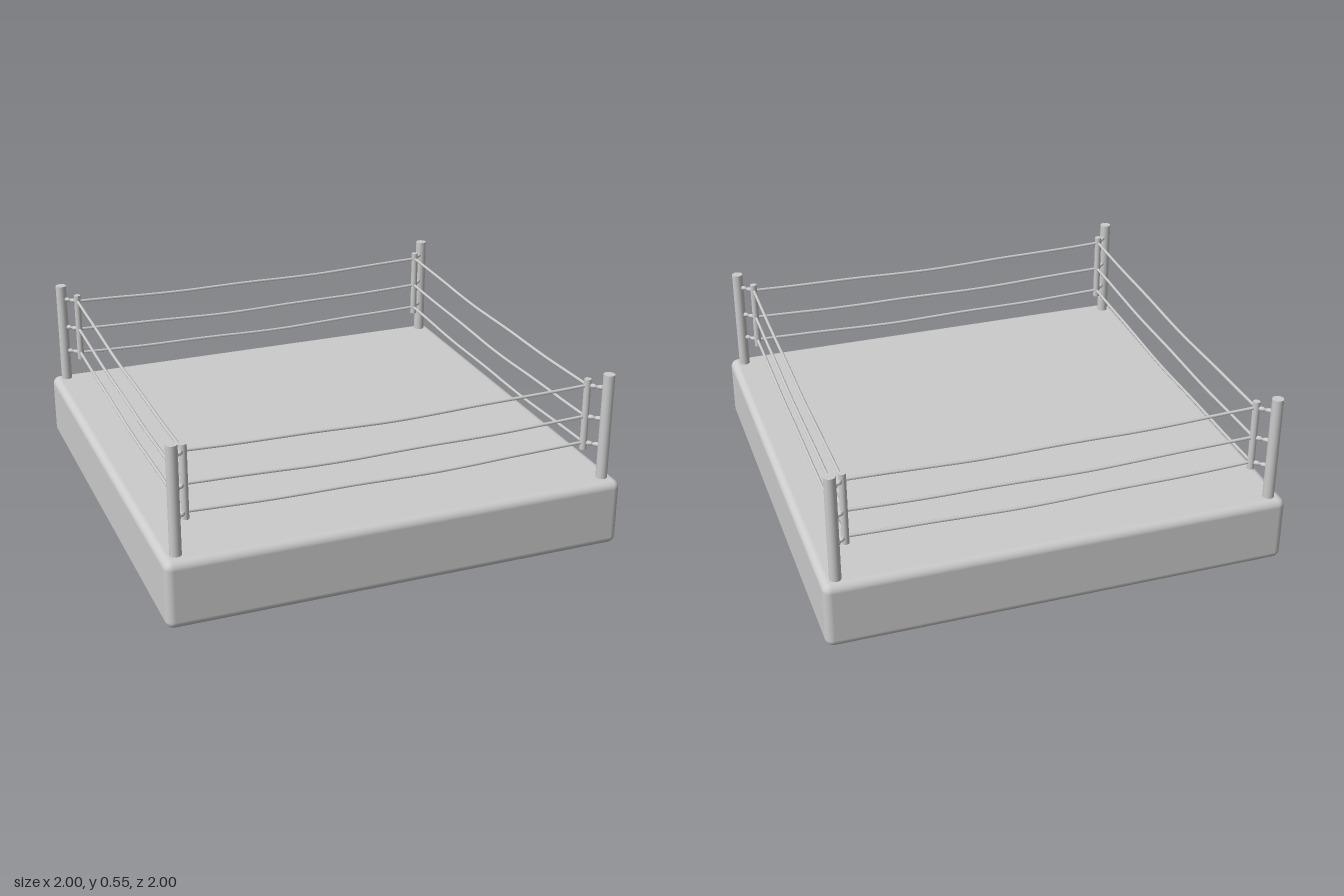
import * as THREE from 'three';
import { RoundedBoxGeometry } from 'three/addons/geometries/RoundedBoxGeometry.js';

const DECK_TOP = 0.213;
const POST_R = 0.948;   // distance of the tall posts from the centre
const PAD_R = 0.885;    // distance of the short rope posts
const LEVELS = [0.317, 0.403, 0.504];

const material = new THREE.MeshStandardMaterial({ color: 0xcccccc });
const shellMaterial = new THREE.MeshStandardMaterial({ color: 0xcccccc, side: THREE.DoubleSide });

function add(parent, name, geometry, mat = material) {
  const mesh = new THREE.Mesh(geometry, mat);
  mesh.name = name;
  parent.add(mesh);
  return mesh;
}

// Rounded box without its flat underside, so the platform is hollow from below
function openDeck(size, height, radius) {
  const box = new RoundedBoxGeometry(size, height, size, 4, radius);
  const pos = box.attributes.position;
  const nor = box.attributes.normal;
  const points = [];
  const normals = [];
  for (let i = 0; i < pos.count; i += 3) {
    const corners = [i, i + 1, i + 2];
    if (corners.every((k) => pos.getY(k) < -height / 2 + 1e-5)) continue;
    for (const k of corners) {
      points.push(pos.getX(k), pos.getY(k), pos.getZ(k));
      normals.push(nor.getX(k), nor.getY(k), nor.getZ(k));
    }
  }
  const geometry = new THREE.BufferGeometry();
  geometry.setAttribute('position', new THREE.Float32BufferAttribute(points, 3));
  geometry.setAttribute('normal', new THREE.Float32BufferAttribute(normals, 3));
  return geometry;
}

// Slack rope from one rope post to the next, with a slight ripple
function ropeGeometry(level, phase) {
  const points = [];
  for (let i = 0; i <= 10; i++) {
    const t = i / 10;
    const sag = Math.sin(Math.PI * t);
    const y = level - 0.012 * sag + 0.0025 * sag * Math.sin(13 * t + phase);
    points.push(new THREE.Vector3(PAD_R * (1 - t), y, PAD_R * t));
  }
  return new THREE.TubeGeometry(new THREE.CatmullRomCurve3(points), 40, 0.005, 8);
}

export function createModel() {
  const model = new THREE.Group();
  model.name = 'boxingRing';

  const ring = new THREE.Group();
  ring.name = 'ring';
  ring.rotation.y = -0.015;
  model.add(ring);

  // Hollow platform, turned so its corners lie on the axes
  const deck = add(ring, 'platform', openDeck(1.429, DECK_TOP, 0.025), shellMaterial);
  deck.position.y = DECK_TOP / 2;
  deck.rotation.y = Math.PI / 4;

  const fence = new THREE.Group();
  fence.name = 'fence';
  fence.position.set(-0.003, 0, -0.004);
  ring.add(fence);

  for (let i = 0; i < 4; i++) {
    const corner = new THREE.Group();
    corner.name = 'corner' + (i + 1);
    corner.rotation.y = i * Math.PI / 2;
    fence.add(corner);

    // Tall post, reaching down inside the platform
    add(corner, 'cornerPost', new THREE.CylinderGeometry(0.0175, 0.0175, 0.53, 20))
      .position.set(POST_R, 0.285, 0);

    // Short post that carries the ropes
    add(corner, 'ropePost', new THREE.CylinderGeometry(0.011, 0.011, 0.23, 16))
      .position.set(PAD_R, 0.41, 0);

    LEVELS.forEach((level, j) => {
      // Tensioner: thin rod with two oval beads between the posts
      const rod = add(corner, 'tensionerRod', new THREE.CylinderGeometry(0.004, 0.004, POST_R - PAD_R, 8));
      rod.rotation.z = Math.PI / 2;
      rod.position.set((POST_R + PAD_R) / 2, level, 0);
      for (const x of [0.902, 0.926]) {
        const bead = add(corner, 'tensionerBead', new THREE.SphereGeometry(0.008, 12, 8));
        bead.scale.set(1.6, 0.9, 0.9);
        bead.position.set(x, level, 0);
      }
      add(corner, 'rope', ropeGeometry(level, i * 1.7 + j * 2.3));
    });
  }
  return model;
}
